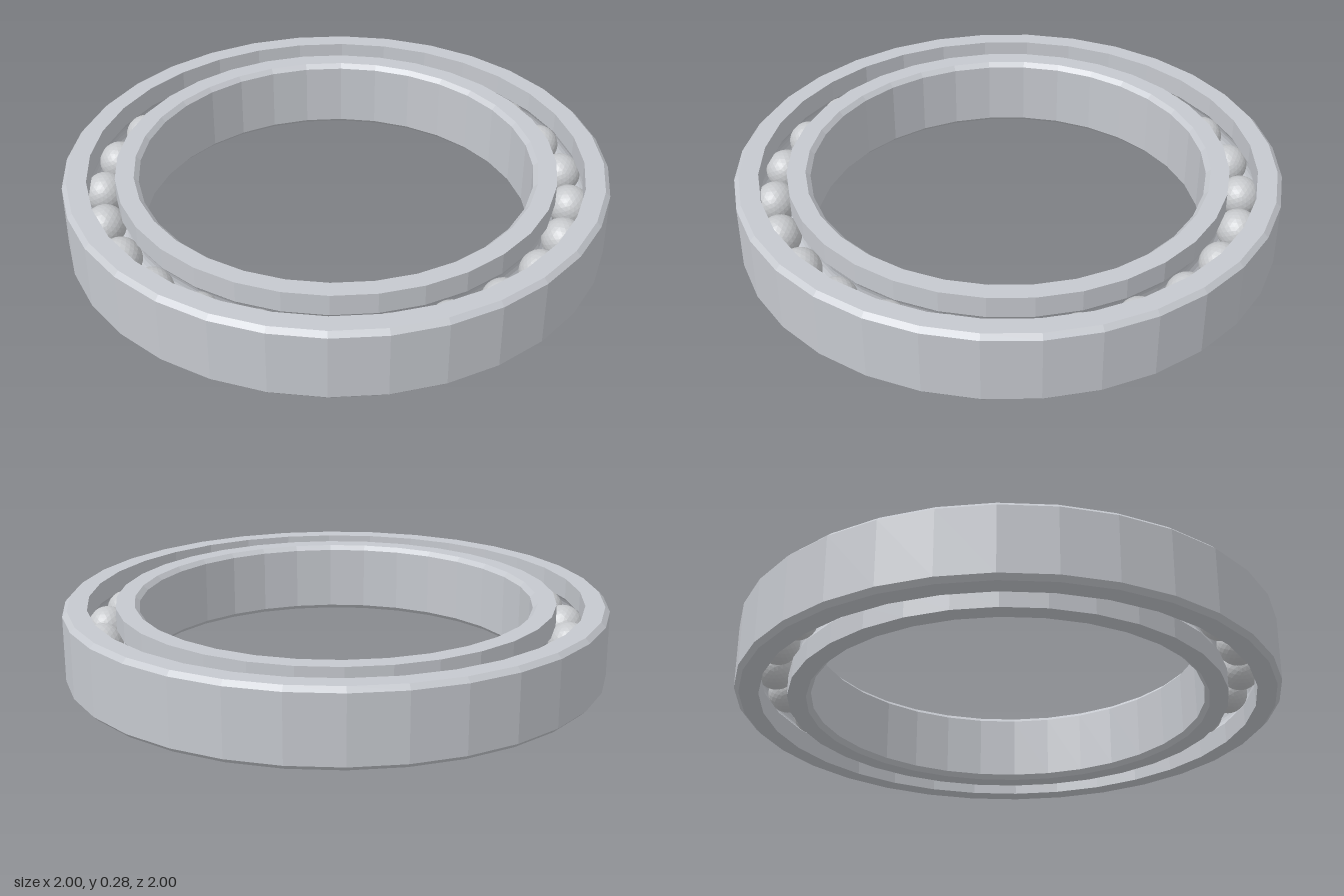
import * as THREE from 'three';

const HEIGHT = 0.276, MID = HEIGHT / 2;
const CHAMFER = 0.017;
const PITCH = 0.861;      // radius of the circle of balls
const BALL = 0.076;
const GROOVE = 0.078;     // radius of the race grooves
const BALL_COUNT = 25;

export function createModel() {
  const model = new THREE.Group();
  model.name = 'ballBearing';

  const steel = new THREE.MeshStandardMaterial({ color: 0xc5c8ce });
  steel.name = 'steel';
  steel.flatShading = true;
  const ballSteel = new THREE.MeshStandardMaterial({ color: 0xc6c8cb });
  ballSteel.name = 'ballSteel';
  ballSteel.flatShading = true;

  // Points of the groove cut into a race wall at radius r; dir is +1 going up, -1 going down
  const groove = (r, side, dir) => {
    const half = Math.acos(Math.abs(r - PITCH) / GROOVE);
    const points = [];
    for (let i = 0; i <= 8; i++) {
      const a = dir * half * (i / 4 - 1);
      points.push([PITCH + side * GROOVE * Math.cos(a), MID + GROOVE * Math.sin(a)]);
    }
    return points;
  };

  // Closed, counter-clockwise profile turned into a faceted ring
  const addRing = (name, profile) => {
    const points = [...profile, profile[0]].map(([r, y]) => new THREE.Vector2(r, y));
    const ring = new THREE.Mesh(new THREE.LatheGeometry(points, 32), steel);
    ring.name = name;
    model.add(ring);
  };

  // Outer ring: chamfered outside, groove on its inner wall
  addRing('outerRing', [
    [0.912, 0], [1 - CHAMFER, 0], [1, CHAMFER], [1, HEIGHT - CHAMFER],
    [1 - CHAMFER, HEIGHT], [0.912, HEIGHT], ...groove(0.912, 1, -1),
  ]);

  // Inner ring: chamfered bore, groove on its outer wall
  const bore = 0.725;
  addRing('innerRing', [
    [bore + CHAMFER, 0], [0.81, 0], ...groove(0.81, -1, 1), [0.81, HEIGHT],
    [bore + CHAMFER, HEIGHT], [bore, HEIGHT - CHAMFER], [bore, CHAMFER],
  ]);

  // Balls, evenly spaced between the rings
  const ballGeometry = new THREE.IcosahedronGeometry(BALL, 4);
  const balls = new THREE.Group();
  balls.name = 'balls';
  for (let i = 0; i < BALL_COUNT; i++) {
    const a = (i / BALL_COUNT) * Math.PI * 2;
    const ball = new THREE.Mesh(ballGeometry, ballSteel);
    ball.name = 'ball';
    ball.position.set(Math.cos(a) * PITCH, MID, Math.sin(a) * PITCH);
    ball.rotation.y = -a;
    balls.add(ball);
  }
  model.add(balls);

  return model;
}
